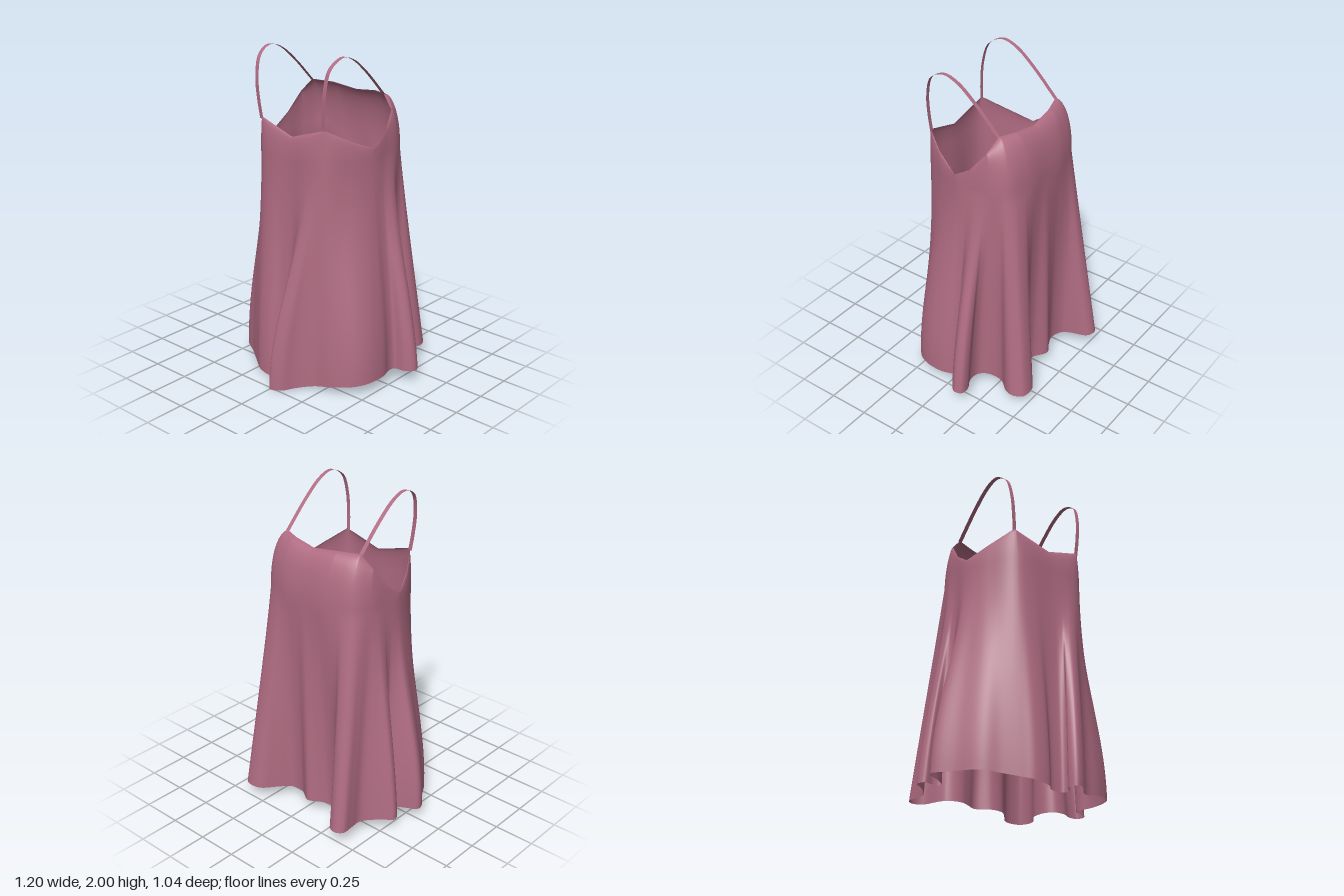
import * as THREE from 'three';

const fabric = new THREE.MeshStandardMaterial({ color: 0xb06c82, side: THREE.DoubleSide });
fabric.name = 'rose fabric';

// Half necklines [x, y, z] from front centre to back centre
const neckLeft = [
  [0, 1.53, 0.295], [0.235, 1.605, 0.282], [0.31, 1.535, 0.16], [0.37, 1.467, 0.01], [0.365, 1.53, -0.09],
  [0.335, 1.65, -0.185], [0.255, 1.73, -0.21], [0.15, 1.725, -0.25], [0, 1.705, -0.265],
];
const neckRight = [
  [-0.25, 1.605, 0.282], [-0.33, 1.53, 0.16], [-0.40, 1.46, 0.01], [-0.395, 1.53, -0.09],
  [-0.37, 1.65, -0.185], [-0.3, 1.73, -0.21], [-0.17, 1.725, -0.25],
];
// Half chest outlines [x, z] at the same stations
const CHEST_Y = 1.4;
const chestLeft = [
  [0, 0.312], [0.23, 0.295], [0.325, 0.16], [0.37, 0.01], [0.368, -0.1],
  [0.355, -0.22], [0.3, -0.315], [0.17, -0.358], [0, -0.362],
];
const chestRight = [
  [-0.24, 0.295], [-0.345, 0.16], [-0.402, 0.01], [-0.4, -0.1],
  [-0.385, -0.22], [-0.33, -0.315], [-0.18, -0.358],
];
// Folded hem [x, z], one row for each stretch between two stations
const hemRows = [
  [[-0.02, 0.36], [0.02, 0.37], [0.03, 0.41], [-0.02, 0.46], [0, 0.515], [0.07, 0.49], [0.12, 0.42]],
  [[0.21, 0.35], [0.32, 0.325]],
  [[0.44, 0.26], [0.49, 0.17]],
  [[0.5, 0.05], [0.48, -0.03], [0.49, -0.07]],
  [[0.56, -0.085], [0.6, -0.13], [0.585, -0.175], [0.53, -0.18], [0.46, -0.145]],
  [[0.39, -0.15], [0.35, -0.2], [0.35, -0.3], [0.41, -0.38]],
  [[0.42, -0.43], [0.39, -0.49], [0.32, -0.5], [0.27, -0.48]],
  [[0.21, -0.41], [0.14, -0.34], [0.06, -0.335]],
  [[-0.03, -0.385], [-0.1, -0.35], [-0.17, -0.325]],
  [[-0.25, -0.35], [-0.28, -0.4], [-0.32, -0.5]],
  [[-0.38, -0.52], [-0.42, -0.49], [-0.42, -0.42]],
  [[-0.42, -0.34], [-0.5, -0.24], [-0.56, -0.19], [-0.54, -0.14]],
  [[-0.48, -0.15], [-0.44, -0.13], [-0.5, -0.07]],
  [[-0.6, 0], [-0.52, 0.13]],
  [[-0.44, 0.25], [-0.35, 0.3]],
  [[-0.25, 0.365], [-0.19, 0.4], [-0.1, 0.4], [-0.06, 0.365]],
];

const { clamp, lerp, smoothstep } = THREE.MathUtils;
const closed = (pts) => new THREE.CatmullRomCurve3(pts, true);

function hemPoint([x, z]) {
  const front = clamp(z / 0.3, 0, 1) * Math.exp(-((x / 0.32) ** 2));
  return new THREE.Vector3(x, 0.083 - 0.078 * front, z);
}

// Lofted cloth: neckline, over the chest, down into the folded hem
function dressGeometry() {
  const neck = [...neckLeft, ...neckRight.slice().reverse()].map((p) => new THREE.Vector3(...p));
  const chest = closed([...chestLeft, ...chestRight.slice().reverse()]
    .map(([x, z]) => new THREE.Vector3(x, CHEST_Y, z)));
  const hem = closed(hemRows.flat().map(hemPoint));
  const stations = hemRows.length, total = hemRows.flat().length;
  const sub = 6, upper = 12, lower = 30, rows = upper + lower + 1;
  const pos = [], index = [];
  let k = 0;
  hemRows.forEach((row, s) => {
    for (let i = 0; i < row.length * sub; i++, k++) {
      const f = i / (row.length * sub);
      const T = neck[s].clone().lerp(neck[(s + 1) % stations], f);
      const C = chest.getPoint((s + f) / stations);
      const H = hem.getPoint(k / (total * sub));
      const back = clamp(-C.z / 0.3, 0, 1);
      // rounded shoulder and bust
      for (let r = 0; r < upper; r++) {
        const a = (r / upper) * Math.PI / 2;
        const out = Math.sin(a), down = 1 - Math.cos(a);
        pos.push(lerp(T.x, C.x, out), lerp(T.y, C.y, down), lerp(T.z, C.z, out));
      }
      // flaring skirt, folds deepening downwards
      for (let r = 0; r <= lower; r++) {
        const t = r / lower;
        const m = lerp(smoothstep(t, 0, 1), t, back);
        pos.push(lerp(C.x, H.x, m), lerp(C.y, H.y, t), lerp(C.z, H.z, m));
      }
    }
  });
  for (let c = 0; c < k; c++) {
    for (let r = 0; r < rows - 1; r++) {
      const a = c * rows + r, b = ((c + 1) % k) * rows + r;
      index.push(a, a + 1, b, b, a + 1, b + 1);
    }
  }
  return surface(pos, index);
}

function surface(pos, index) {
  const g = new THREE.BufferGeometry();
  g.setAttribute('position', new THREE.Float32BufferAttribute(pos, 3));
  g.setIndex(index);
  g.computeVertexNormals();
  return g;
}

// Flat ribbon over the shoulder, leaning from frontX to topX
function strapGeometry(frontX, topX) {
  const path = [[1.59, 0.283], [1.7, 0.292], [1.82, 0.291], [1.94, 0.26], [1.988, 0.2], [2, 0.145],
    [1.97, 0.06], [1.88, -0.055], [1.725, -0.212]];
  const curve = new THREE.CatmullRomCurve3(path.map(([y, z], i) =>
    new THREE.Vector3(lerp(frontX, topX, Math.min(1, i / 4)), y, z)));
  const n = 40, half = 0.013, pos = [], index = [];
  for (let i = 0; i <= n; i++) {
    const p = curve.getPoint(i / n), y = Math.min(p.y, 2);
    pos.push(p.x - half, y, p.z, p.x + half, y, p.z);
    if (i < n) index.push(2 * i, 2 * i + 1, 2 * i + 2, 2 * i + 1, 2 * i + 3, 2 * i + 2);
  }
  return surface(pos, index);
}

export function createModel() {
  const group = new THREE.Group();
  group.name = 'camisoleDress';
  const add = (name, geometry) => {
    const mesh = new THREE.Mesh(geometry, fabric);
    mesh.name = name;
    group.add(mesh);
  };
  add('dressBody', dressGeometry());
  add('leftStrap', strapGeometry(0.228, 0.256));
  add('rightStrap', strapGeometry(-0.25, -0.3));
  return group;
}
